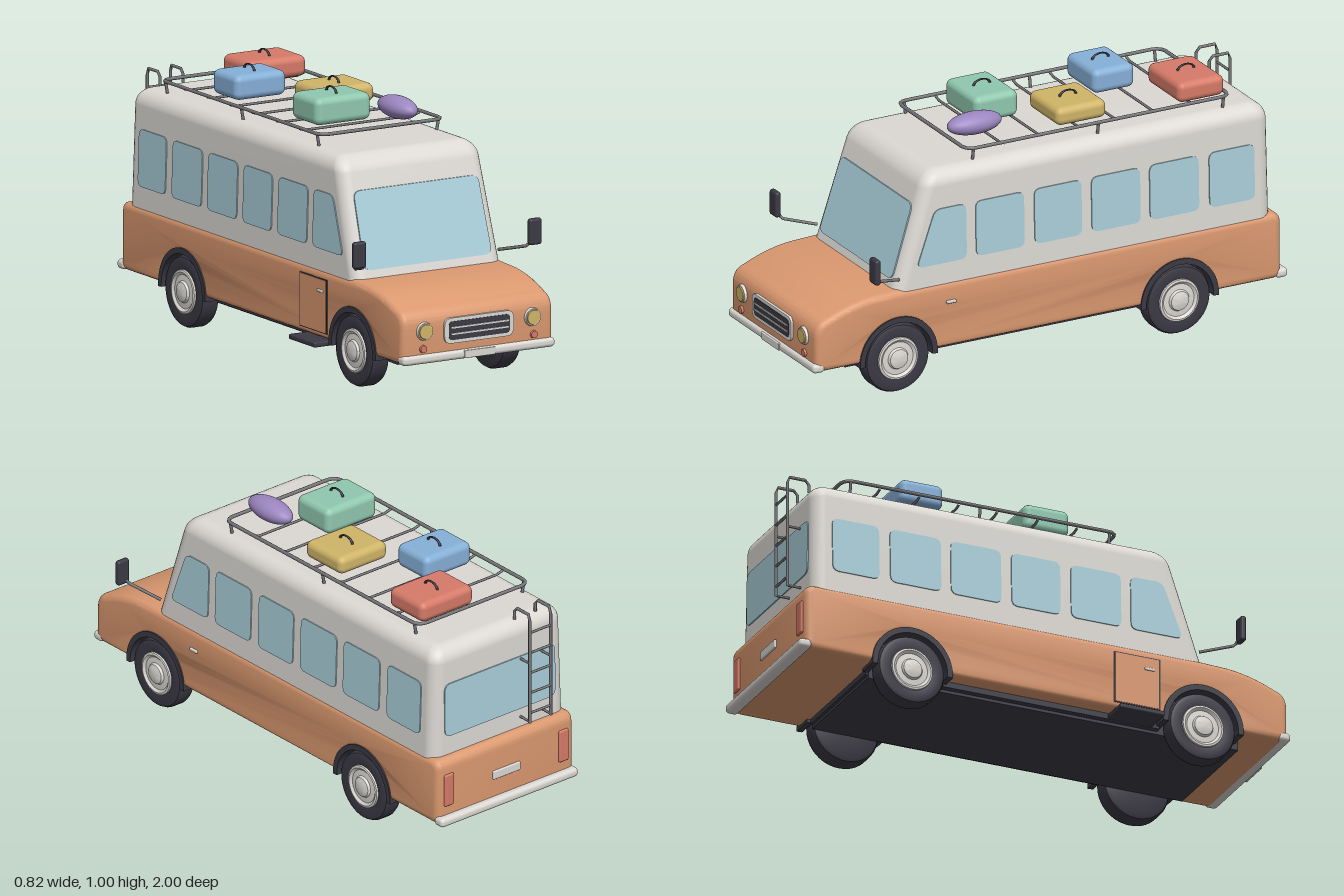
import * as THREE from 'three';
import { toCreasedNormals } from 'three/addons/utils/BufferGeometryUtils.js';
import { RoundedBoxGeometry } from 'three/addons/geometries/RoundedBoxGeometry.js';

const paint = (name, color) => {
  const m = new THREE.MeshStandardMaterial({ color });
  m.name = name;
  return m;
};
const cream = paint('cream', 0xdcd9d4), orange = paint('orange', 0xdb9970), dark = paint('charcoal', 0x3b3a45);
const glass = paint('glass', 0xa9ced9), metal = paint('metal', 0x77777a), yellow = paint('yellow', 0xd0b568);
const red = paint('red', 0xd67a68), green = paint('green', 0x90c8b0), blue = paint('blue', 0x86b0d8), purple = paint('purple', 0x9c86c0);

const V = (x, y, z) => new THREE.Vector3(x, y, z);

// Cabin outline as a function of height
const front = y => 0.655 - (y - 0.375) * 0.318;
const back = y => -0.935 + (y - 0.375) * 0.01;
const half = y => 0.322 - (y - 0.375) * 0.03;

// Rounded polygon from corner points
function roundedShape(pts, r) {
  const s = new THREE.Shape(), n = pts.length;
  pts.forEach((p, i) => {
    const c = new THREE.Vector2(...p);
    const toward = q => c.clone().add(new THREE.Vector2(...q).sub(c).setLength(r));
    const a = toward(pts[(i + n - 1) % n]), b = toward(pts[(i + 1) % n]);
    if (i) s.lineTo(a.x, a.y); else s.moveTo(a.x, a.y);
    s.quadraticCurveTo(c.x, c.y, b.x, b.y);
  });
  s.closePath();
  return s;
}
const rect = (x0, x1, y0, y1) => [[x0, y0], [x1, y0], [x1, y1], [x0, y1]];

// Extrude centred on its depth; a shape drawn in (z, y) can be turned to face sideways
function extrude(shape, depth, sideways, opts = {}) {
  const g = new THREE.ExtrudeGeometry(shape, { depth, bevelEnabled: false, curveSegments: 8, ...opts });
  g.translate(0, 0, -depth / 2);
  if (sideways) g.rotateY(-Math.PI / 2);
  return g;
}
// Slide vertices along one axis by a function of height, to lie on a leaning wall
function lean(g, axis, f) {
  const p = g.attributes.position;
  for (let i = 0; i < p.count; i++) p.setComponent(i, axis, p.getComponent(i, axis) + f(p.getY(i)));
  g.computeVertexNormals();
  return g;
}

function cabinGeometry() {
  const pos = [], idx = [], per = 28, levels = [[0.36, 0], [0.56, 0]];
  for (let i = 0; i <= 8; i++) {
    const a = i / 8 * Math.PI / 2;
    levels.push([0.775 + 0.06 * Math.sin(a), 0.06 * (1 - Math.cos(a))]);
  }
  for (const [y, inset] of levels) {
    const r = Math.max(0.05 - inset * 0.6, 0.01);
    const hx = half(y) - inset - r, zf = front(y) - inset - r, zb = back(y) + inset + r;
    for (let k = 0; k < 4; k++) for (let j = 0; j < 7; j++) {
      const a = (k + j / 6) * Math.PI / 2;
      pos.push((k === 0 || k === 3 ? hx : -hx) + r * Math.cos(a), y, (k < 2 ? zf : zb) + r * Math.sin(a));
    }
  }
  for (let l = 0; l < levels.length - 1; l++) for (let k = 0; k < per; k++) {
    const a = l * per + k, b = l * per + (k + 1) % per;
    idx.push(a, a + per, b, b, a + per, b + per);
  }
  const top = (levels.length - 1) * per, centre = pos.length / 3;
  pos.push(0, 0.837, -0.2);
  for (let k = 0; k < per; k++) idx.push(centre, top + (k + 1) % per, top + k);
  const g = new THREE.BufferGeometry();
  g.setAttribute('position', new THREE.Float32BufferAttribute(pos, 3));
  g.setIndex(idx);
  g.computeVertexNormals();
  return g;
}

function lowerBodyGeometry() {
  const s = new THREE.Shape();
  s.moveTo(-0.935, 0.14);
  for (const z of [-0.54, 0.64]) {
    s.lineTo(z - 0.143, 0.14);
    s.absarc(z, 0.14, 0.143, Math.PI, 0, true);
  }
  s.lineTo(0.95, 0.14);
  s.quadraticCurveTo(0.985, 0.14, 0.985, 0.175);
  s.lineTo(0.985, 0.275);
  s.quadraticCurveTo(0.985, 0.332, 0.935, 0.345);
  s.quadraticCurveTo(0.84, 0.388, 0.74, 0.396);
  s.lineTo(0.64, 0.4);
  s.lineTo(-0.93, 0.4);
  s.quadraticCurveTo(-0.97, 0.4, -0.97, 0.36);
  s.lineTo(-0.97, 0.175);
  s.quadraticCurveTo(-0.97, 0.14, -0.935, 0.14);
  return toCreasedNormals(extrude(s, 0.606, true, {
    bevelEnabled: true, bevelSize: 0.025, bevelOffset: -0.025, bevelThickness: 0.025, bevelSegments: 4, curveSegments: 16,
  }), 0.6);
}

export function createModel() {
  const model = new THREE.Group();
  model.name = 'touringBus';
  const add = (name, geo, mat, x = 0, y = 0, z = 0, parent = model) => {
    const m = new THREE.Mesh(geo, mat);
    m.name = name;
    m.position.set(x, y, z);
    parent.add(m);
    return m;
  };
  const box = (name, mat, w, h, d, x, y, z, r = 0) =>
    add(name, r ? new RoundedBoxGeometry(w, h, d, 3, r) : new THREE.BoxGeometry(w, h, d), mat, x, y, z);
  const rod = (name, mat, r, ...pts) => {
    const path = new THREE.CurvePath();
    for (let i = 1; i < pts.length; i++) path.add(new THREE.LineCurve3(pts[i - 1], pts[i]));
    return add(name, new THREE.TubeGeometry(path, (pts.length - 1) * 6, r, 8), mat);
  };
  const disc = (name, mat, r, d, x, y, z) =>
    add(name, new THREE.CylinderGeometry(r * 0.9, r, d, 24).rotateX(Math.PI / 2), mat, x, y, z);

  // Shell
  add('lowerBody', lowerBodyGeometry(), orange);
  add('cabin', cabinGeometry(), cream);
  box('chassis', dark, 0.49, 0.06, 1.5, 0, 0.136, 0.07);
  box('sideSills', dark, 0.54, 0.025, 0.88, 0, 0.13, 0.05);
  box('hoodSeam', dark, 0.58, 0.003, 0.005, 0, 0.381, 0.815);

  // Glazing
  const windscreen = roundedShape([[-0.276, 0.43], [0.276, 0.43], [0.27, 0.712], [-0.27, 0.712]], 0.03);
  add('windscreen', lean(extrude(windscreen, 0.009), 2, front), glass);
  add('rearWindow', lean(extrude(roundedShape(rect(-0.265, 0.265, 0.475, 0.69), 0.03), 0.009), 2, back), glass);
  const panes = [[[0.35, 0.475], [0.56, 0.475], [0.48, 0.69], [0.35, 0.69]]];
  for (const [a, b] of [[0.107, 0.31], [-0.134, 0.064], [-0.38, -0.176], [-0.626, -0.42], [-0.86, -0.67]])
    panes.push(rect(a, b, 0.475, 0.69));
  for (const s of [1, -1]) for (const p of panes)
    add('sideWindow', lean(extrude(roundedShape(p, 0.028), 0.008, true), 0, y => s * half(y)), glass);

  // Wheels and arches
  const lathe = pts => toCreasedNormals(new THREE.LatheGeometry(pts.map(p => new THREE.Vector2(...p)), 40), 0.6);
  const tyre = lathe([[0, -0.04], [0.115, -0.04], [0.129, -0.034], [0.135, -0.022], [0.135, 0.022], [0.129, 0.034], [0.115, 0.039], [0.082, 0.034]]);
  const hub = lathe([[0.084, 0.03], [0.082, 0.041], [0.074, 0.043], [0.064, 0.035], [0.042, 0.037], [0.037, 0.046], [0.022, 0.051], [0, 0.052]]);
  const arch = new THREE.Shape();
  arch.absarc(0, 0, 0.163, -0.06, Math.PI + 0.06, false);
  arch.absarc(0, 0, 0.141, Math.PI + 0.06, -0.06, true);
  const archGeo = toCreasedNormals(extrude(arch, 0.09, true, { curveSegments: 28 }), 0.5);
  for (const z of [0.64, -0.54]) {
    box('wheelWell', dark, 0.48, 0.17, 0.3, 0, 0.205, z);
    for (const s of [1, -1]) {
      const wheel = new THREE.Group();
      wheel.name = 'wheel';
      wheel.position.set(s * 0.287, 0.135, z);
      wheel.rotation.z = -s * Math.PI / 2;
      model.add(wheel);
      add('tyre', tyre, dark, 0, 0, 0, wheel);
      add('hubcap', hub, cream, 0, 0, 0, wheel);
      add('wheelArch', archGeo, dark, s * 0.287, 0.137, z);
    }
  }

  // Bumpers and plates
  box('frontBumper', cream, 0.66, 0.036, 0.05, 0, 0.158, 0.972, 0.015);
  box('rearBumper', cream, 0.66, 0.036, 0.05, 0, 0.158, -0.972, 0.015);
  box('frontPlate', cream, 0.135, 0.03, 0.008, 0, 0.158, 0.996, 0.003);
  box('rearPlate', cream, 0.13, 0.034, 0.012, 0, 0.265, -0.972, 0.004);

  // Grille
  add('grilleFrame', extrude(roundedShape(rect(-0.15, 0.15, 0.204, 0.3), 0.03), 0.02), cream, 0, 0, 0.983);
  add('grilleOpening', extrude(roundedShape(rect(-0.132, 0.132, 0.217, 0.287), 0.016), 0.006), dark, 0, 0, 0.992);
  for (const y of [0.24, 0.264]) box('grilleBar', cream, 0.25, 0.006, 0.005, 0, y, 0.996);

  for (const s of [1, -1]) {
    // Lamps
    disc('headlampRing', cream, 0.036, 0.016, s * 0.234, 0.262, 0.987);
    disc('headlamp', yellow, 0.03, 0.008, s * 0.234, 0.262, 0.995);
    disc('markerLamp', red, 0.015, 0.012, s * 0.24, 0.196, 0.988);
    box('tailLamp', red, 0.045, 0.13, 0.016, s * 0.275, 0.277, -0.97, 0.007);
    box('doorHandle', cream, 0.012, 0.012, 0.04, s * 0.33, 0.32, 0.42, 0.004);
    // Mirrors
    rod('mirrorArm', metal, 0.006, V(s * 0.31, 0.44, 0.63), V(s * 0.355, 0.472, 0.755), V(s * 0.38, 0.5, 0.765));
    box('mirror', dark, 0.054, 0.1, 0.024, s * 0.381, 0.526, 0.768, 0.01);
  }

  // Passenger door and step
  box('doorGap', dark, 0.006, 0.205, 0.19, -0.3275, 0.265, 0.37);
  box('doorPanel', orange, 0.008, 0.197, 0.178, -0.328, 0.265, 0.37);
  box('step', dark, 0.12, 0.02, 0.18, -0.322, 0.128, 0.37, 0.006);

  // Roof rack
  const rail = roundedShape(rect(-0.266, 0.266, -0.787, 0.32), 0.04).getSpacedPoints(120);
  rail.pop();
  const loop = new THREE.CatmullRomCurve3(rail.map(p => V(p.x, 0.88, p.y)), true);
  add('rackRail', new THREE.TubeGeometry(loop, 160, 0.007, 8, true), metal);
  for (const z of [-0.64, -0.48, -0.32, -0.165, 0, 0.16])
    rod('rackCrossbar', metal, 0.005, V(-0.262, 0.874, z), V(-0.24, 0.866, z), V(0.24, 0.866, z), V(0.262, 0.874, z));
  for (const s of [1, -1]) for (const z of [0.29, -0.235, -0.76])
    rod('rackPost', metal, 0.006, V(s * 0.252, 0.815, z), V(s * 0.264, 0.88, z));

  // Rear ladder
  for (const x of [-0.2, -0.1]) {
    rod('ladderRail', metal, 0.006, V(x, 0.83, -0.9), V(x, 0.88, -0.9), V(x, 0.88, -0.988), V(x, 0.435, -0.988));
    for (const y of [0.44, 0.68]) rod('ladderBracket', metal, 0.005, V(x, y, -0.925), V(x, y, -0.988));
  }
  for (let i = 0; i < 5; i++) rod('ladderRung', metal, 0.005, V(-0.2, 0.475 + i * 0.083, -0.988), V(-0.1, 0.475 + i * 0.083, -0.988));

  // Luggage: colour, x range, z range, top
  for (const [mat, x0, x1, z0, z1, top] of [
    [red, -0.01, 0.243, -0.78, -0.585, 0.952], [blue, -0.21, 0.012, -0.53, -0.355, 0.966],
    [yellow, -0.005, 0.225, -0.295, -0.085, 0.943], [green, -0.187, 0.054, -0.018, 0.166, 0.975],
  ]) {
    const x = (x0 + x1) / 2, z = (z0 + z1) / 2;
    box('suitcase', mat, x1 - x0, top - 0.872, z1 - z0, x, (top + 0.872) / 2, z, 0.026);
    const handle = new THREE.TorusGeometry(0.034, 0.005, 8, 16, Math.PI).scale(1, 0.6, 1).rotateY(Math.PI / 2);
    add('suitcaseHandle', handle, dark, x, top - 0.001, z);
  }
  add('duffelBag', new THREE.SphereGeometry(1, 32, 20).scale(0.053, 0.042, 0.112), purple, 0.133, 0.92, 0.215);
  return model;
}
